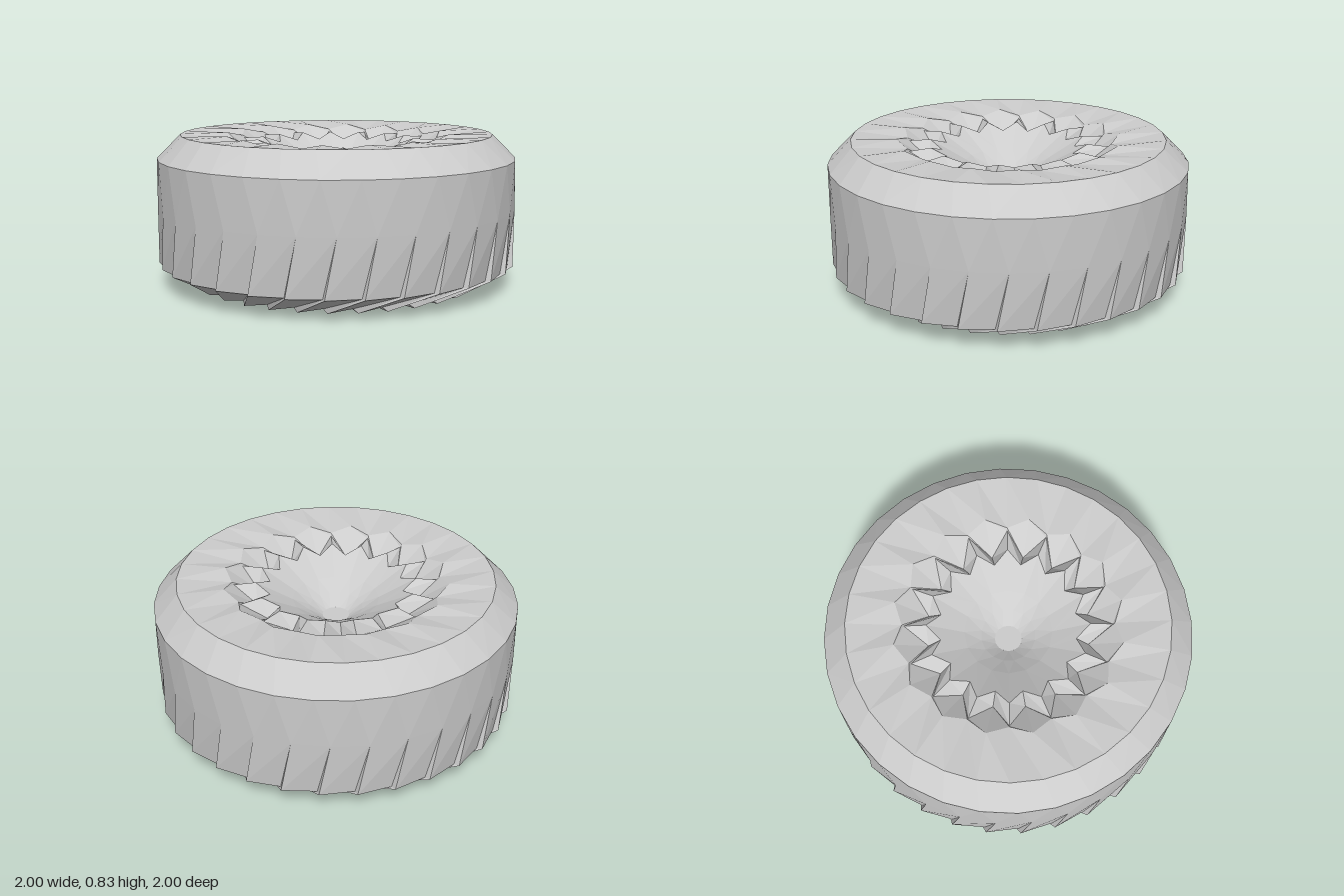
import * as THREE from 'three';

const UNIT = Math.PI / 16; // one 32nd of a turn; phases are counted in these

const corner = (r, y, phase) =>
  new THREE.Vector3(r * Math.sin(phase * UNIT), y, r * Math.cos(phase * UNIT));

// Ring of n equal corners
const ring = (n, r, y, phase) =>
  Array.from({ length: n }, (_, i) => corner(r, y, phase + (i * 32) / n));

// Ring repeating a short list of [radius, height, phase] corners n times
const patternRing = (n, corners) =>
  Array.from({ length: n }, (_, i) =>
    corners.map(([r, y, phase]) => corner(r, y, phase + (i * 32) / n))).flat();

// Zigzag band of triangles joining two rings of any corner counts
function stitch(out, low, up) {
  const add = (a, b, c) => {
    if (a.distanceTo(b) > 1e-6 && b.distanceTo(c) > 1e-6 && c.distanceTo(a) > 1e-6) {
      for (const p of [a, b, c]) out.push(p.x, p.y, p.z);
    }
  };
  const L = low.length, U = up.length;
  let i = 0, j = 0;
  while (i < L || j < U) {
    if (j >= U || (i < L && (i + 1) / L <= (j + 1) / U)) {
      add(low[i % L], low[(i + 1) % L], up[j % U]);
      i++;
    } else {
      add(low[i % L], up[(j + 1) % U], up[j % U]);
      j++;
    }
  }
}

export function createModel() {
  const group = new THREE.Group();
  const material = new THREE.MeshStandardMaterial({
    color: 0xcccccc, flatShading: true, side: THREE.DoubleSide,
  });

  function addPart(name, rings) {
    const pos = [];
    for (let k = 0; k + 1 < rings.length; k++) stitch(pos, rings[k], rings[k + 1]);
    const geo = new THREE.BufferGeometry();
    geo.setAttribute('position', new THREE.Float32BufferAttribute(pos, 3));
    geo.computeVertexNormals();
    const mesh = new THREE.Mesh(geo, material);
    mesh.name = name;
    group.add(mesh);
  }

  // Rings shared by neighbouring parts
  const hubEdge = ring(32, 0.365, 0.13, 0.3);
  const opening = ring(32, 0.52, 0, 0.8);
  // Ratchet rings: each tooth steps in slightly before the next
  const foot = patternRing(32, [[0.79, 0, 1.3], [0.77, 0.02, 2.15]]);
  const treadBase = patternRing(32, [[1, 0.12, 2.3], [0.972, 0.12, 3.24]]);
  const treadTop = ring(32, 1, 0.705, 4.2);
  const rimEdge = ring(32, 0.87, 0.835, 5);
  // Zigzag rings of the star
  const recessEdge = patternRing(16, [[0.57, 0.805, 5], [0.62, 0.83, 6]]);
  const groove = patternRing(16, [[0.56, 0.79, 5], [0.44, 0.71, 6]]);
  const dishEdge = patternRing(16, [[0.44, 0.8, 5], [0.37, 0.765, 6]]);
  const dishFloor = ring(16, 0.15, 0.635, 6);

  // Underside, from the centre outwards
  addPart('undersideHub', [
    ring(32, 0, 0.01, -0.2), ring(32, 0.23, 0.01, -0.2), hubEdge,
  ]);
  addPart('undersideRecess', [hubEdge, opening]);
  addPart('lowerSidewall', [opening, foot, treadBase]);

  // Leaning teeth around the tread, then the bevelled shoulder
  addPart('tread', [treadBase, ring(32, 1, 0.43, 3.6), treadTop]);
  addPart('shoulder', [treadTop, rimEdge]);

  // Star-shaped face, from the rim to the centre
  addPart('upperFace', [rimEdge, recessEdge]);
  addPart('starGroove', [recessEdge, groove]);
  addPart('dishRim', [groove, dishEdge]);
  addPart('dish', [dishEdge, ring(16, 0.24, 0.69, 5), dishFloor]);
  addPart('hubHole', [
    dishFloor, ring(16, 0.075, 0.585, 7), ring(16, 0, 0.585, 7),
  ]);

  return group;
}
